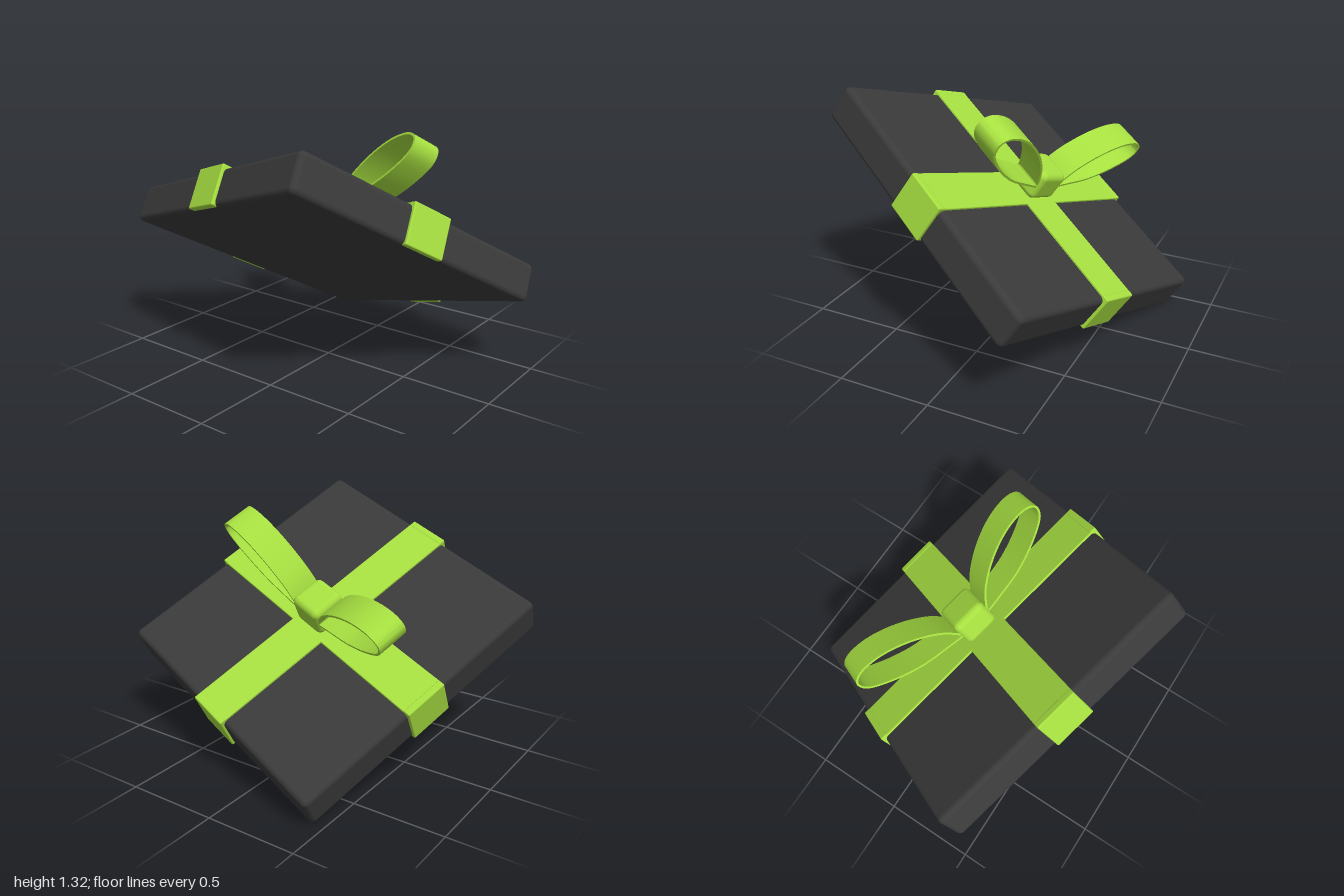
import * as THREE from 'three';
import { toCreasedNormals } from 'three/addons/utils/BufferGeometryUtils.js';
import { RoundedBoxGeometry } from 'three/addons/geometries/RoundedBoxGeometry.js';

const SIDE = 1.55, HEIGHT = 0.205, BAND = 0.24;

const boxMaterial = new THREE.MeshStandardMaterial({ color: 0x3a3a3a });
boxMaterial.name = 'charcoal';
const ribbonMaterial = new THREE.MeshStandardMaterial({ color: 0xa6df40 });
ribbonMaterial.name = 'limeGreen';

function roundedBox(name, size, position, radius, material) {
  const mesh = new THREE.Mesh(new RoundedBoxGeometry(...size, 4, radius), material);
  mesh.name = name;
  mesh.position.set(...position);
  return mesh;
}

// Teardrop strip of ribbon, pointing along +x from the knot
function bowLoopGeometry() {
  const path = new THREE.CatmullRomCurve3([
    [0, 0], [0.12, 0.07], [0.3, 0.11], [0.47, 0.1], [0.58, 0.05],
    [0.605, 0], [0.57, -0.05], [0.44, -0.08], [0.25, -0.075], [0.1, -0.035], [0, -0.005],
  ].map(([x, y]) => new THREE.Vector3(x, y, 0)));
  const outer = [], inner = [], steps = 56, half = 0.006;
  for (let i = 0; i <= steps; i++) {
    const p = path.getPoint(i / steps), t = path.getTangent(i / steps);
    outer.push(new THREE.Vector2(p.x - t.y * half, p.y + t.x * half));
    inner.push(new THREE.Vector2(p.x + t.y * half, p.y - t.x * half));
  }
  const shape = new THREE.Shape([...outer, ...inner.reverse()]);
  const width = 0.165;
  const geometry = new THREE.ExtrudeGeometry(shape, { depth: width, bevelEnabled: false });
  geometry.translate(0, 0, -width / 2);
  return toCreasedNormals(geometry, 0.7);
}

export function createModel() {
  const model = new THREE.Group();
  model.name = 'giftBox';

  // Tilted frame: x and z run along the sides of the box, y out of its lid
  const gift = new THREE.Group();
  gift.name = 'tiltedGift';
  const up = new THREE.Vector3(-0.112, 0.83, -0.547).normalize();
  const side = new THREE.Vector3(0.928, 0.284, 0.24);
  side.addScaledVector(up, -side.dot(up)).normalize();
  const along = new THREE.Vector3().crossVectors(side, up);
  gift.quaternion.setFromRotationMatrix(new THREE.Matrix4().makeBasis(side, up, along));
  gift.position.y = 0.66;
  model.add(gift);

  gift.add(roundedBox('box', [SIDE, HEIGHT, SIDE], [0, 0, 0], 0.03, boxMaterial));

  // Two crossing bands, each with a tab down both sides
  for (let i = 0; i < 2; i++) {
    const band = new THREE.Group();
    band.name = i ? 'lengthBand' : 'crossBand';
    band.rotation.y = i * Math.PI / 2;
    band.add(roundedBox('bandTop', [SIDE + 0.02, 0.02, BAND], [0, HEIGHT / 2 + 0.001 + i * 0.001, 0], 0.005, ribbonMaterial));
    for (const s of [-1, 1]) {
      band.add(roundedBox('bandTab', [0.04, HEIGHT + 0.012, BAND], [s * (SIDE / 2 - 0.004), 0.008, 0], 0.008, ribbonMaterial));
    }
    gift.add(band);
  }

  // Bow: knot and two mirrored loops
  const bow = new THREE.Group();
  bow.name = 'bow';
  bow.add(roundedBox('knot', [0.2, 0.17, 0.2], [0, 0.2, 0], 0.035, ribbonMaterial));
  const loopGeometry = bowLoopGeometry();
  for (const turn of [0, Math.PI]) {
    const holder = new THREE.Group();
    holder.name = turn ? 'rightLoop' : 'leftLoop';
    holder.rotation.y = turn;
    const loop = new THREE.Mesh(loopGeometry, ribbonMaterial);
    loop.name = 'bowLoop';
    loop.position.set(0.085, 0.2, 0);
    loop.rotation.z = 0.48;
    holder.add(loop);
    bow.add(holder);
  }
  gift.add(bow);

  return model;
}
